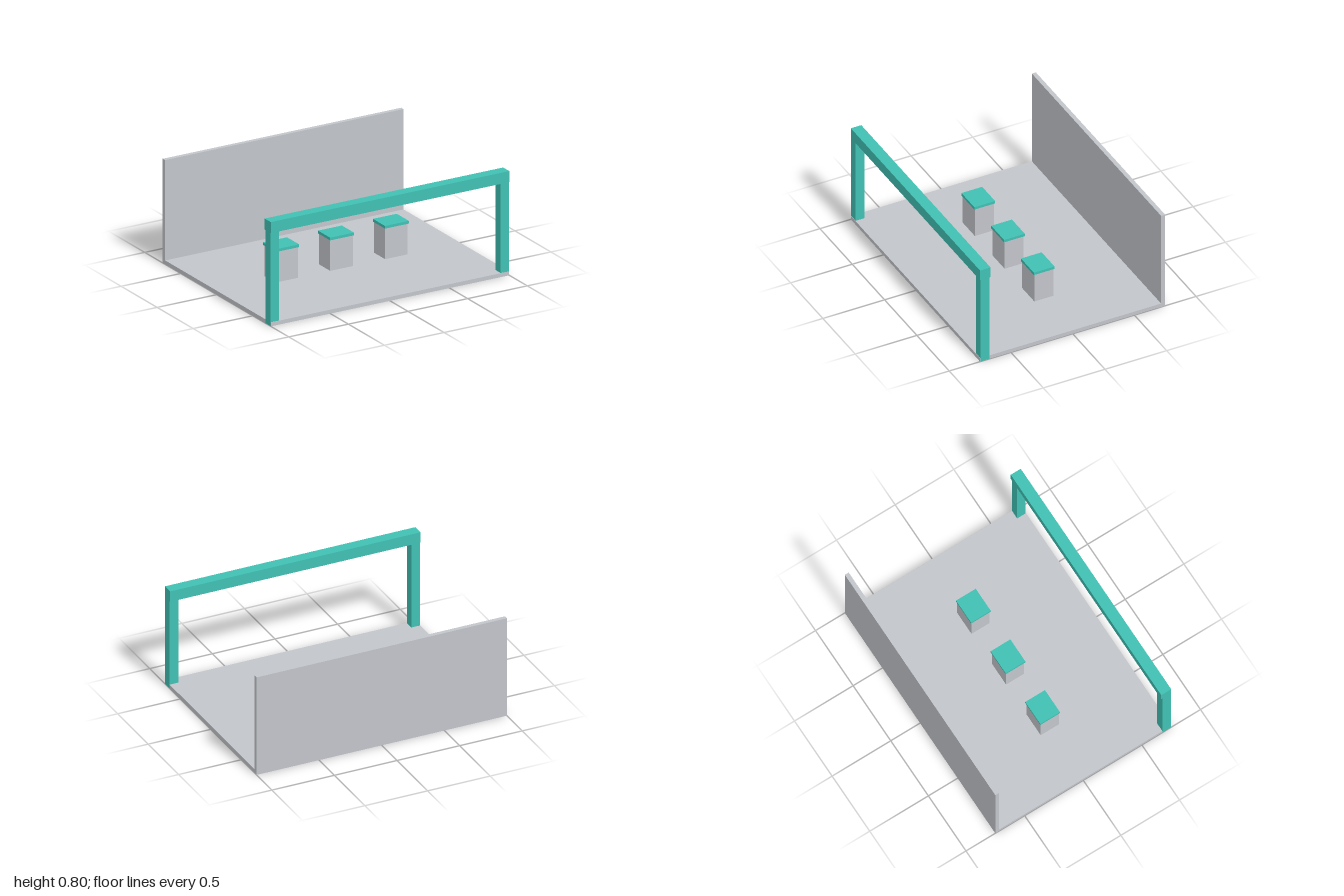
import * as THREE from 'three';

export function createModel() {
  const model = new THREE.Group();
  const grey = new THREE.MeshStandardMaterial({ color: 0xc2c5ca });
  grey.name = 'light grey';
  const teal = new THREE.MeshStandardMaterial({ color: 0x40c1b3 });
  teal.name = 'teal';

  // Box given by its lower and upper corners
  function box(name, material, [x0, y0, z0], [x1, y1, z1], parent = model) {
    const mesh = new THREE.Mesh(new THREE.BoxGeometry(x1 - x0, y1 - y0, z1 - z0), material);
    mesh.position.set((x0 + x1) / 2, (y0 + y1) / 2, (z0 + z1) / 2);
    mesh.name = name;
    parent.add(mesh);
  }

  // Floor slab and back wall
  box('floor', grey, [-0.9995, 0, -0.717], [0.9995, 0.03, 0.75]);
  box('backWall', grey, [-1, 0, -0.75], [1, 0.8, -0.717]);

  // Front frame: two posts carrying a slightly deeper beam
  box('leftPost', teal, [0.93, 0.0005, 0.675], [1, 0.715, 0.747]);
  box('rightPost', teal, [-1, 0.0005, 0.675], [-0.93, 0.715, 0.747]);
  box('frontBeam', teal, [-1, 0.715, 0.665], [1, 0.8, 0.75]);

  // Row of display plinths with overhanging tops
  for (const x of [-0.46, 0, 0.46]) {
    const plinth = new THREE.Group();
    plinth.name = 'plinth';
    plinth.position.x = x;
    box('plinthBody', grey, [-0.095, 0.03, -0.077], [0.095, 0.267, 0.077], plinth);
    box('plinthTop', teal, [-0.1, 0.267, -0.084], [0.1, 0.288, 0.084], plinth);
    model.add(plinth);
  }
  return model;
}
